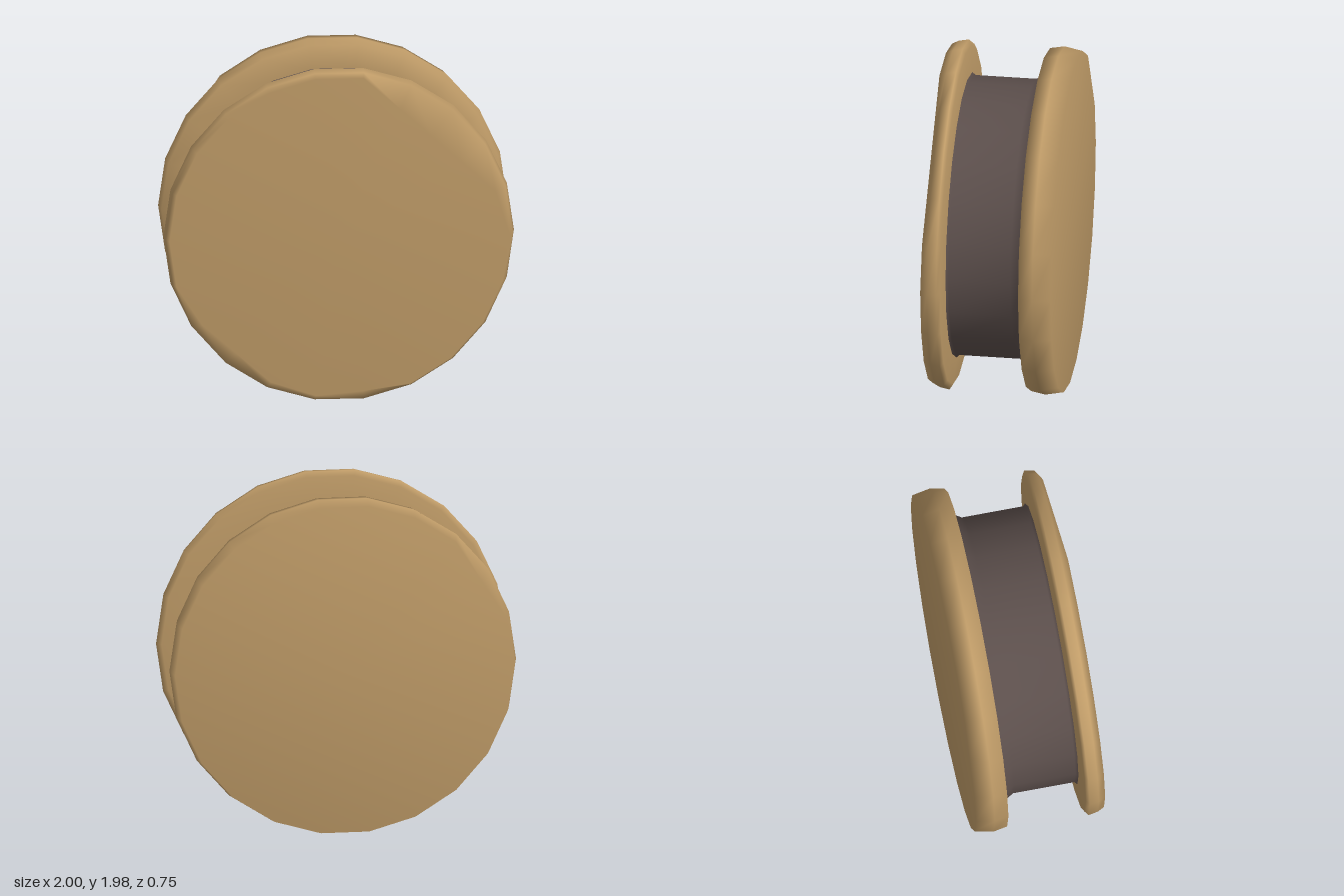
import * as THREE from 'three';
import { mergeVertices } from 'three/addons/utils/BufferGeometryUtils.js';

const SIDES = 22;

// Turn a profile of [radius, z] points around the z axis. Each chip [degrees, distance]
// flattens the outer face's rim along a chord.
function turned(profile, chips = []) {
  let geo = new THREE.LatheGeometry(
    profile.map(([r, z]) => new THREE.Vector2(r, z)), SIDES, Math.PI / 2);
  geo.rotateX(Math.PI / 2);
  const p = geo.attributes.position;
  for (let i = 0; i < p.count; i++) {
    const x = p.getX(i), y = p.getY(i);
    if (Math.abs(p.getZ(i)) < 0.37) continue;
    for (const [deg, dist] of chips) {
      const a = THREE.MathUtils.degToRad(deg);
      const d = x * Math.cos(a) + y * Math.sin(a);
      if (d > dist) p.setXY(i, x * dist / d, y * dist / d);
    }
  }
  // weld seam and poles so the shading is continuous
  geo.deleteAttribute('uv');
  geo.deleteAttribute('normal');
  geo = mergeVertices(geo);
  geo.computeVertexNormals();
  return geo;
}

export function createModel() {
  const group = new THREE.Group();
  const tan = new THREE.MeshStandardMaterial({ color: 0xc09c68 });
  const dark = new THREE.MeshStandardMaterial({ color: 0x5c4f4c });

  const add = (name, geo, material) => {
    const mesh = new THREE.Mesh(geo, material);
    mesh.name = name;
    mesh.position.y = 1;
    group.add(mesh);
  };

  // thin front disc, worn at three places on its rim
  add('frontFlange', turned(
    [[0.78, 0.25], [0.82, 0.25], [0.97, 0.262], [1.0, 0.28], [0.99, 0.335], [0.97, 0.375], [0, 0.375]],
    [[47, 0.8], [228, 0.9], [275, 0.93]]), tan);

  // thicker back disc
  add('backFlange', turned(
    [[0, -0.375], [0.975, -0.375], [0.995, -0.27], [0.98, -0.188], [0.83, -0.185], [0.78, -0.185]],
    [[148, 0.93]]), tan);

  // recessed hub, flared where it meets the discs
  add('hub', turned(
    [[0.85, -0.2], [0.835, -0.18], [0.8, -0.12], [0.8, 0.235], [0.82, 0.255]]), dark);

  return group;
}
